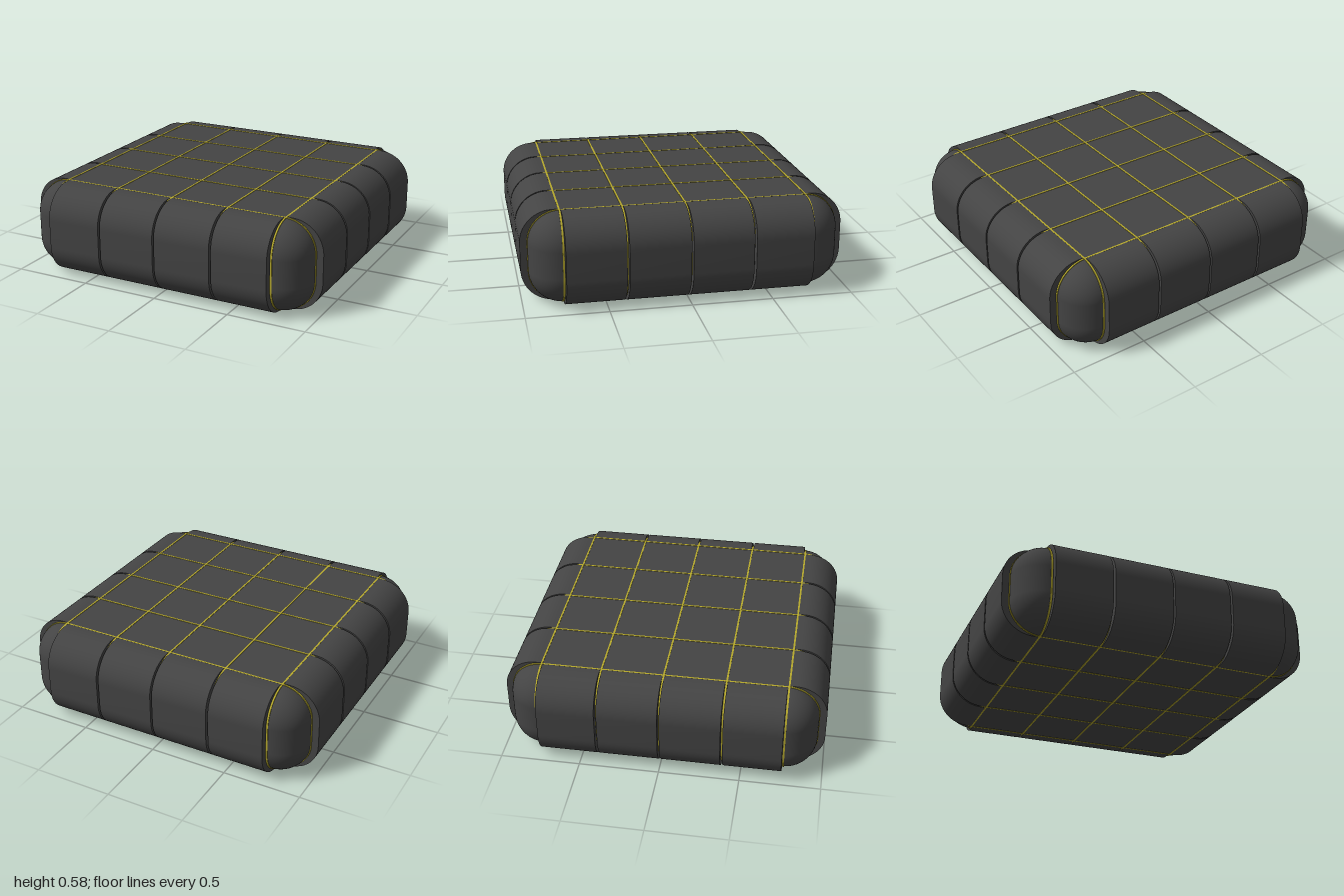
import * as THREE from 'three';
import { RoundedBoxGeometry } from 'three/addons/geometries/RoundedBoxGeometry.js';
import { toCreasedNormals } from 'three/addons/utils/BufferGeometryUtils.js';

const H = 0.575, MID = H / 2;
const dark = new THREE.MeshStandardMaterial({ color: 0x444444 });
const yellow = new THREE.MeshStandardMaterial({ color: 0xb5a82c });

// Rounded rectangle outline centred on the origin
function roundedRect(path, w, h, r) {
  const x = w / 2, y = h / 2;
  path.moveTo(x, -y + r);
  path.lineTo(x, y - r);
  path.absarc(x - r, y - r, r, 0, Math.PI / 2);
  path.lineTo(-x + r, y);
  path.absarc(-x + r, y - r, r, Math.PI / 2, Math.PI);
  path.lineTo(-x, -y + r);
  path.absarc(-x + r, -y + r, r, Math.PI, Math.PI * 1.5);
  path.lineTo(x - r, -y);
  path.absarc(x - r, -y + r, r, Math.PI * 1.5, Math.PI * 2);
  return path;
}

// Extrudes a shape along z, centred on z = 0
function extrude(shape, depth) {
  const g = new THREE.ExtrudeGeometry(shape, { depth, bevelEnabled: false, curveSegments: 10 });
  g.translate(0, 0, -depth / 2);
  return toCreasedNormals(g, 0.6);
}

function add(parent, name, geometry, material) {
  const m = new THREE.Mesh(geometry, material);
  m.name = name;
  parent.add(m);
  return m;
}

// Padded edge segment: x is outward, rounded at the top and bottom outside
function panelShape() {
  const r = 0.2, s = new THREE.Shape();
  s.moveTo(0.765, -MID);
  s.lineTo(1 - r, -MID);
  s.absarc(1 - r, -MID + r, r, -Math.PI / 2, 0);
  s.lineTo(1, MID - r);
  s.absarc(1 - r, MID - r, r, 0, Math.PI / 2);
  s.lineTo(0.765, MID);
  s.closePath();
  return s;
}

export function createModel() {
  const group = new THREE.Group();
  group.name = 'paddedSlab';

  // Core with rounded corners
  add(group, 'core', new RoundedBoxGeometry(1.91, 0.571, 1.91, 8, 0.2), dark).position.y = MID;

  // Four raised panels on each of the four sides
  const spans = [[-0.752, -0.392], [-0.378, -0.006], [0.006, 0.378], [0.392, 0.752]];
  const shape = panelShape();
  for (let side = 0; side < 4; side++) {
    const edge = new THREE.Group();
    edge.name = 'sidePanels';
    edge.rotation.y = side * Math.PI / 2;
    edge.position.y = MID;
    for (const [a, b] of spans)
      add(edge, 'panel', extrude(shape, b - a), dark).position.z = (a + b) / 2;
    group.add(edge);
  }

  // Piping loops around the core in both directions
  const ring = roundedRect(new THREE.Shape(), 1.916, H + 0.001, 0.2);
  ring.holes.push(roundedRect(new THREE.Path(), 1.88, H - 0.03, 0.185));
  const loop = extrude(ring, 0.011);
  for (const turn of [0, Math.PI / 2]) {
    const set = new THREE.Group();
    set.name = 'piping';
    set.rotation.y = turn;
    set.position.y = MID;
    for (const p of [-0.76, -0.385, 0, 0.385, 0.76])
      add(set, 'pipingLoop', loop, yellow).position.z = p;
    group.add(set);
  }
  return group;
}
